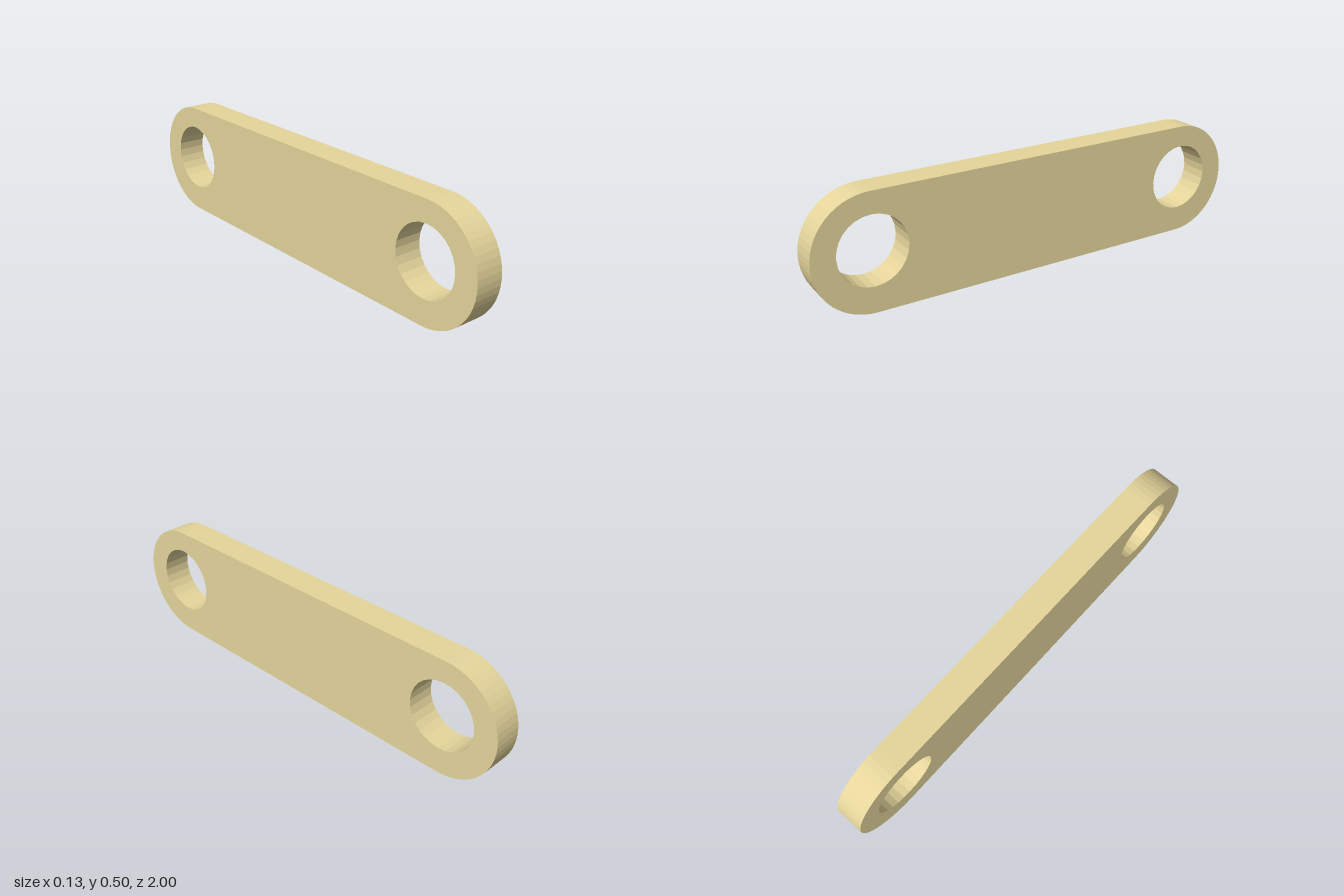
import * as THREE from 'three';

// Flat link bar with rounded ends and a round hole near each end
export function createModel() {
  const group = new THREE.Group();
  group.name = 'linkBar';

  const thickness = 0.126, radius = 0.25, reach = 0.75;
  const holeRadius = 0.148, holeY = 0.26;

  // Side outline: two half circles joined by straight edges
  const outline = new THREE.Shape();
  outline.absarc(reach, radius, radius, -Math.PI / 2, Math.PI / 2, false);
  outline.absarc(-reach, radius, radius, Math.PI / 2, Math.PI * 1.5, false);
  outline.closePath();

  // Pin holes, sitting slightly above the centre line
  for (const side of [-1, 1]) {
    const hole = new THREE.Path();
    hole.absarc(side * reach, holeY, holeRadius, 0, Math.PI * 2, true);
    outline.holes.push(hole);
  }

  // Extrude across the width and turn the length along z
  const geometry = new THREE.ExtrudeGeometry(outline, {
    depth: thickness, bevelEnabled: false, curveSegments: 14,
  });
  geometry.translate(0, 0, -thickness / 2);
  geometry.rotateY(-Math.PI / 2);

  const material = new THREE.MeshStandardMaterial({ color: 0xe6d69c, flatShading: true });
  const bar = new THREE.Mesh(geometry, material);
  bar.name = 'bar';
  group.add(bar);
  return group;
}
